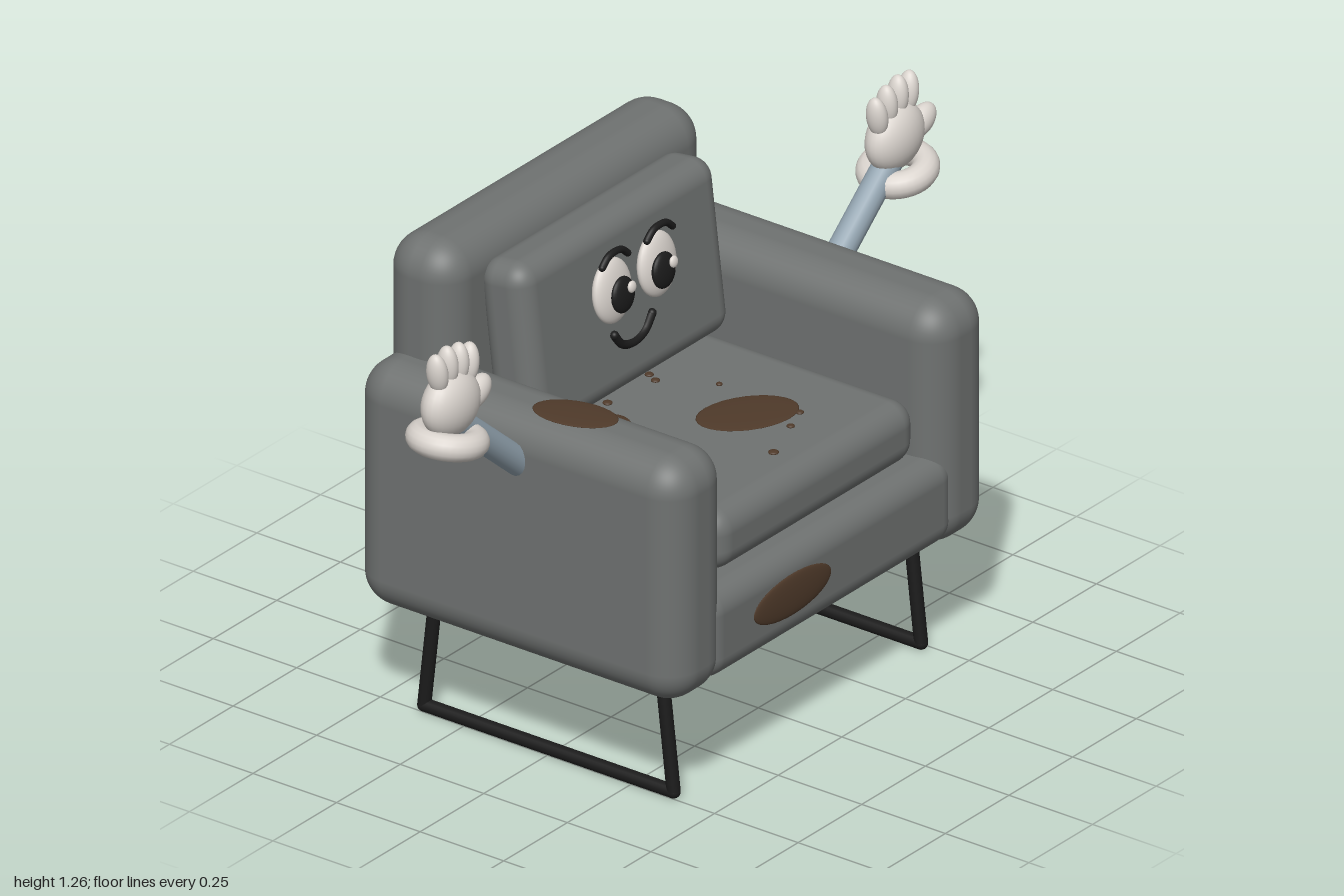
import * as THREE from 'three';
import { RoundedBoxGeometry } from 'three/addons/geometries/RoundedBoxGeometry.js';

const mat = (name, color) => {
  const m = new THREE.MeshStandardMaterial({ color });
  m.name = name;
  return m;
};

export function createModel() {
  const fabric = mat('grey fabric', 0x6f7271);
  const glove = mat('glove white', 0xdad4ce);
  const sleeve = mat('pale blue', 0x93a4b0);
  const black = mat('black', 0x1b1b1b);
  const stainBrown = mat('stain brown', 0x4f3a2a);

  const model = new THREE.Group();
  model.name = 'armchair';
  model.position.x = -0.008;
  const root = new THREE.Group();
  root.add(model);

  const add = (name, geo, material, pos = [0, 0, 0], rot = [0, 0, 0], parent = model) => {
    const m = new THREE.Mesh(geo, material);
    m.name = name;
    m.position.set(...pos);
    m.rotation.set(...rot);
    parent.add(m);
    return m;
  };
  const box = (name, size, radius, pos, rot) =>
    add(name, new RoundedBoxGeometry(...size, 6, radius), fabric, pos, rot);
  const blob = (name, radii, material, pos, rot, parent) =>
    add(name, new THREE.SphereGeometry(1, 28, 18).scale(...radii), material, pos, rot, parent);

  // Cylinder between two points
  const rod = (name, a, b, r, material, parent) => {
    const from = new THREE.Vector3(...a), to = new THREE.Vector3(...b);
    const dir = to.clone().sub(from);
    const m = add(name, new THREE.CylinderGeometry(r, r, dir.length(), 18), material,
      from.clone().add(to).multiplyScalar(0.5).toArray(), [0, 0, 0], parent);
    m.quaternion.setFromUnitVectors(new THREE.Vector3(0, 1, 0), dir.normalize());
  };

  // Curved strand with rounded ends
  const strand = (name, points, r) => {
    const pts = points.map(p => new THREE.Vector3(...p));
    add(name, new THREE.TubeGeometry(new THREE.CatmullRomCurve3(pts), 24, r, 10), black);
    [points[0], points[points.length - 1]].forEach(p => blob(name + 'End', [r, r, r], black, p));
  };

  // Upholstery
  const tilt = -0.12;
  box('base', [0.98, 0.235, 0.966], 0.06, [0, 0.4425, 0]);
  box('seatCushion', [0.796, 0.163, 0.74], 0.06, [0, 0.645, 0.068]);
  box('backrest', [1.03, 0.85, 0.213], 0.09, [0, 0.827, -0.3825]);
  box('backCushion', [0.775, 0.455, 0.15], 0.055, [0, 0.968, -0.205], [tilt, 0, 0]);

  for (const s of [-1, 1]) {
    box(s < 0 ? 'rightArmrest' : 'leftArmrest', [0.22, 0.65, 0.976], 0.09, [s * 0.515, 0.63, -0.002]);

    // Sled leg
    const leg = new THREE.Group();
    leg.name = s < 0 ? 'rightLeg' : 'leftLeg';
    model.add(leg);
    const x = s * 0.486, r = 0.017;
    rod('runner', [x, r, -0.373], [x, r, 0.373], r, black, leg);
    for (const e of [-1, 1]) {
      rod('upright', [x, r, e * 0.373], [x, 0.36, e * 0.334], r, black, leg);
      blob('corner', [r, r, r], black, [x, r, e * 0.373], undefined, leg);
    }

    // Waving arm and gloved hand
    const limb = new THREE.Group();
    limb.name = s < 0 ? 'rightLimb' : 'leftLimb';
    model.add(limb);
    rod('sleeve', [s * 0.55, 0.785, 0], [s * 0.86, 1.05, 0], 0.035, sleeve, limb);
    add('cuff', new THREE.TorusGeometry(0.068, 0.034, 16, 36).rotateX(Math.PI / 2), glove,
      [s * 0.884, 1.008, 0], [0, 0, s * 0.2], limb);
    blob('palm', [0.094, 0.085, 0.056], glove, [s * 0.872, 1.1, 0], [0, 0, s * 0.2], limb);
    [[0.924, 1.198], [0.884, 1.203], [0.842, 1.194], [0.803, 1.178]].forEach(([fx, fy]) =>
      blob('finger', [0.024, 0.054, 0.028], glove, [s * fx, fy, 0], [0, 0, s * (0.865 - fx) * 2.5], limb));
    // Both thumbs point to +x
    blob('thumb', [0.053, 0.034, 0.029], glove,
      s > 0 ? [0.961, 1.107, 0.01] : [-0.786, 1.097, 0.01], [0, 0, 0.5], limb);

    // Eye and brow
    blob('eyeWhite', [0.07, 0.083, 0.026], glove, [s * 0.088, 1.043, -0.115], [tilt, 0, 0]);
    blob('pupil', [0.042, 0.046, 0.016], black, [s * 0.08, 1.037, -0.088], [tilt, 0, 0]);
    blob('eyeGlint', [0.014, 0.015, 0.008], glove, [s * 0.082 + 0.018, 1.056, -0.073], [tilt, 0, 0]);
    strand('brow', [-0.05, -0.027, 0, 0.027, 0.05].map((dx, i) =>
      [s * 0.088 + dx, 1.126 + [0, 0.019, 0.024, 0.019, 0][i], -0.106]), 0.009);
  }

  // Smile
  strand('mouth', [-0.074, -0.045, 0, 0.045, 0.074].map((dx, i) =>
    [dx, [0.916, 0.881, 0.868, 0.881, 0.916][i], -0.118]), 0.011);

  // Stains: x, z, radius x, radius z, turn
  [
    [0.086, 0.158, 0.13, 0.085, -0.5],
    [-0.166, -0.061, 0.064, 0.052, 0.5],
    [-0.145, 0.014, 0.012, 0.012, 0], [0.166, 0.013, 0.008, 0.008, 0],
    [-0.037, 0.33, 0.013, 0.013, 0], [0.096, 0.28, 0.01, 0.01, 0],
    [0.166, 0.254, 0.01, 0.01, 0], [0.09, -0.12, 0.011, 0.011, 0],
    [0.105, -0.15, 0.011, 0.011, 0], [-0.072, -0.14, 0.012, 0.012, 0],
  ].forEach(([x, z, rx, rz, turn]) =>
    blob('seatStain', [rx, 0.005, rz], stainBrown, [x, 0.728, z], [0, turn, 0]));
  blob('armrestStain', [0.064, 0.005, 0.11], stainBrown, [-0.518, 0.957, 0.104], [0, 0.2, 0]);
  blob('frontStain', [0.152, 0.055, 0.009], stainBrown, [-0.166, 0.449, 0.485]);

  return root;
}
